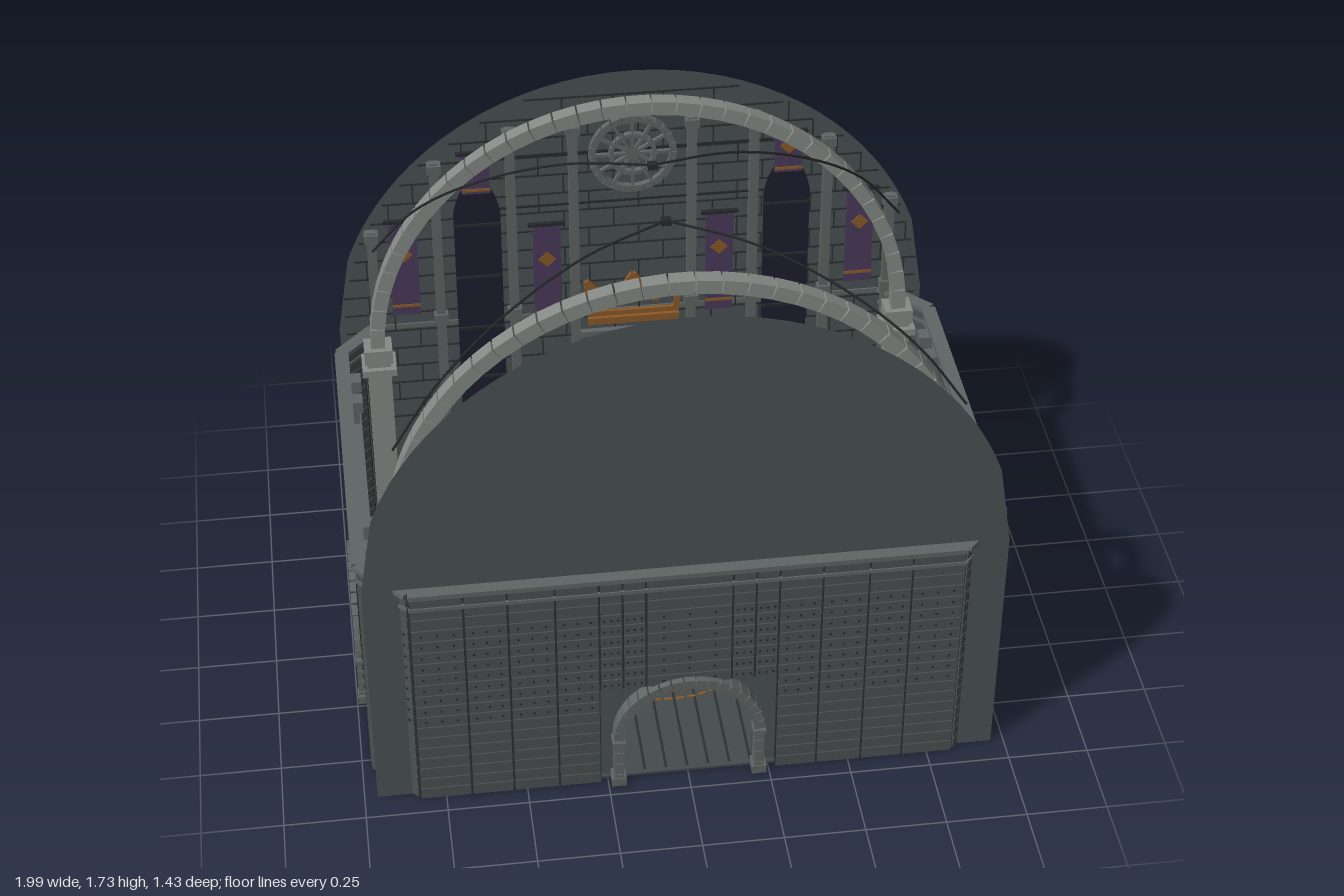
import * as THREE from 'three';
import { mergeGeometries } from 'three/addons/utils/BufferGeometryUtils.js';

const mat = (name, color, side = THREE.FrontSide) => {
  const m = new THREE.MeshStandardMaterial({ color, side });
  m.name = name;
  return m;
};

export function createModel() {
  const M = {
    gable: mat('gable stone', 0x4b5354, THREE.DoubleSide),
    wall: mat('wall slab', 0x4a5051),
    trim: mat('trim stone', 0x5f6665),
    light: mat('light stone', 0x858a86),
    seam: mat('dark seam', 0x2c3132),
    iron: mat('iron', 0x25282a),
    floor: mat('floor slab', 0x454c4e),
    purple: mat('purple cloth', 0x4b3a5c),
    gold: mat('bronze', 0x8c5a28),
    night: mat('night glass', 0x1d1d2e),
  };
  const root = new THREE.Group();
  root.name = 'vaultedHall';

  const box = (w, h, d, x = 0, y = 0, z = 0, rz = 0) =>
    new THREE.BoxGeometry(w, h, d).rotateZ(rz).translate(x, y, z);
  const add = (parent, name, geos, material) => {
    const mesh = new THREE.Mesh(Array.isArray(geos) ? mergeGeometries(geos) : geos, material);
    mesh.name = name;
    parent.add(mesh);
    return mesh;
  };
  const group = (parent, name) => {
    const g = new THREE.Group();
    g.name = name;
    parent.add(g);
    return g;
  };
  // Bar joining two points in the xy plane
  const bar = (p, q, t, d, z = 0, fill = 1) => box(Math.hypot(q[0] - p[0], q[1] - p[1]) * fill, t, d,
    (p[0] + q[0]) / 2, (p[1] + q[1]) / 2, z, Math.atan2(q[1] - p[1], q[0] - p[0]));
  // Separate blocks along an elliptical arc
  const blocks = (cy, a, b, thick, depth, n, z = 0, sweep = Math.PI, fill = 0.95) => {
    const at = i => [a * Math.cos(i / n * sweep), cy + b * Math.sin(i / n * sweep)];
    return Array.from({ length: n }, (_, i) => bar(at(i), at(i + 1), thick, depth, z, fill));
  };
  // Open crown drawn with bars
  const crown = (t, d) => {
    const p = [[-0.14, -0.05], [-0.155, 0.08], [-0.07, -0.01], [0, 0.1], [0.07, -0.01], [0.155, 0.08], [0.14, -0.05]];
    const g = p.slice(1).map((q, i) => bar(p[i], q, t, d));
    g.push(box(0.3, t, d, 0, -0.05), box(0.3, t * 1.4, d, 0, -0.08));
    return g;
  };

  // Wall of slabs with studs; a doorway of half width `door` and height 0.38
  const slabWall = (parent, name, cols, door) => {
    const g = group(parent, name), slabs = [], studs = [], back = [];
    for (let c = 0; c + 1 < cols.length; c++) {
      const x = (cols[c] + cols[c + 1]) / 2, w = cols[c + 1] - cols[c];
      const open = Math.abs(x) < door;
      for (let r = open ? 9 : 0; r < 19; r++) {
        const y0 = r < 9 ? r * 0.0422 : 0.38 + (r - 9) * 0.043, h = r < 9 ? 0.0422 : 0.043;
        slabs.push(box(w - 0.007, h - 0.004, 0.02, x, y0 + h / 2, 0));
        if (r > 6 && r < 16) for (const k of [-0.3, 0, 0.3])
          studs.push(box(0.006, 0.006, 0.004, x + k * w, y0 + h / 2, 0.011));
      }
      const b = open ? 0.38 : 0;
      back.push(box(w, 0.81 - b, 0.012, x, (0.81 + b) / 2, -0.001));
    }
    const L = cols[cols.length - 1] - cols[0];
    add(g, 'wallSlabs', slabs, M.wall);
    add(g, 'wallStuds', studs, M.iron);
    add(g, 'wallJoints', back, M.seam);
    add(g, 'wallCap', [box(L, 0.016, 0.045, 0, 0.817), box(L, 0.012, 0.028, 0, 0.765)], M.trim);
    return g;
  };
  // Doorway arch of wedge stones on block legs
  const doorArch = (parent, z) => {
    const g = blocks(0.185, 0.217, 0.207, 0.032, 0.045, 19, z);
    for (const s of [-1, 1]) {
      for (let i = 0; i < 4; i++) g.push(box(0.03, 0.042, 0.042, s * 0.217, 0.022 + i * 0.045, z));
      g.push(box(0.045, 0.03, 0.05, s * 0.218, 0.015, z), box(0.04, 0.015, 0.048, s * 0.217, 0.17, z));
    }
    add(parent, 'doorArch', g, M.trim);
  };

  const archY = x => 0.77 + 0.95 * Math.sqrt(1 - (x / 0.975) ** 2);

  const endCols = [-0.83, -0.67, -0.54, -0.4, -0.27, -0.2, -0.13, 0.13, 0.2, 0.27, 0.4, 0.54, 0.67, 0.83];
  const sideCols = [-0.53, -0.4, -0.27, -0.2, -0.13, 0, 0.13, 0.2, 0.27, 0.4, 0.53];

  const makeEnd = () => {
    const end = group(root, 'hallEnd');
    // Tall thin gable with an arched doorway
    const s = new THREE.Shape();
    s.moveTo(-0.96, 0).lineTo(-0.962, 0.82);
    for (let i = 0; i <= 40; i++) {
      const x = -0.92 * Math.cos(i / 40 * Math.PI);
      s.lineTo(x, archY(x));
    }
    s.lineTo(0.962, 0.82).lineTo(0.96, 0);
    s.lineTo(0.2, 0).lineTo(0.2, 0.185).absarc(0, 0.185, 0.2, 0, Math.PI, false).lineTo(-0.2, 0);
    add(end, 'gable', new THREE.ShapeGeometry(s, 24).translate(0, 0, 0.665), M.gable);

    slabWall(end, 'outerWall', endCols, 0.27).position.z = 0.682;
    doorArch(end, 0.69);
    for (const m of [-1, 1]) {
      const c = slabWall(end, 'cornerWall', [-0.102, 0, 0.102], 0);
      c.position.set(m * 0.895, 0, 0.605);
      c.rotation.y = m * 0.82;
    }

    // Stone courses and pilasters on the inner face
    const seams = [], posts = [];
    for (let i = 0; i < 18; i++) {
      const y = 0.45 + i * 0.07;
      let w = 0.94;
      while (archY(w) < y + 0.02 && w > 0.1) w -= 0.02;
      seams.push(box(2 * w, 0.006, 0.004, 0, y, 0.661));
      for (let x = -0.9 + (i % 2) * 0.08; x < w; x += 0.16)
        if (x > -w && archY(x) > y + 0.08) seams.push(box(0.005, 0.07, 0.004, x, y + 0.035, 0.661));
    }
    add(end, 'stoneCourses', seams, M.seam);
    for (const x of [-0.84, -0.63, -0.39, -0.19, 0.19, 0.39, 0.63, 0.84]) {
      const b = Math.abs(x) < 0.25 ? 0.42 : 0, h = Math.min(1.55, archY(x) - 0.05) - b;
      posts.push(box(0.03, h, 0.024, x, b + h / 2, 0.648), box(0.045, 0.03, 0.034, x, b + h - 0.02, 0.645),
        box(0.045, 0.04, 0.034, x, 0.85, 0.645));
    }
    posts.push(box(0.4, 0.02, 0.02, 0, 0.74, 0.65));
    add(end, 'pilasters', posts, M.trim);

    // Tall dark windows and hanging banners
    for (const m of [-1, 1]) {
      const w = new THREE.Shape();
      w.moveTo(-0.075, 0.42).lineTo(0.075, 0.42).lineTo(0.075, 1.24).quadraticCurveTo(0.06, 1.34, 0, 1.38)
        .quadraticCurveTo(-0.06, 1.34, -0.075, 1.24);
      add(end, 'window', new THREE.ExtrudeGeometry(w, { depth: 0.008, bevelEnabled: false })
        .translate(m * 0.5, 0, 0.648), M.night);
      add(end, 'windowBars', [0.6, 0.8, 1, 1.2].map(y => box(0.15, 0.008, 0.006, m * 0.5, y, 0.645)), M.iron);
      for (const [x, y, h] of [[0.28, 1, 0.38], [0.28, 0.47, 0.17], [0.74, 1.06, 0.36], [0.5, 1.4, 0.15]]) {
        add(end, 'banner', box(0.09, h, 0.006, m * x, y, 0.637), M.purple);
        add(end, 'bannerEmblem', [box(0.04, 0.04, 0.004, m * x, y + h * 0.15, 0.633, Math.PI / 4),
          box(0.09, 0.01, 0.004, m * x, y - h * 0.4, 0.633)], M.gold);
        add(end, 'bannerRod', box(0.12, 0.01, 0.014, m * x, y + h / 2, 0.637), M.iron);
      }
    }

    // Round spoked ornament above a crown relief
    const wheel = [...blocks(0, 0.13, 0.13, 0.022, 0.02, 24, 0, Math.PI * 2),
      ...blocks(0, 0.07, 0.07, 0.014, 0.02, 16, 0, Math.PI * 2)];
    for (let i = 0; i < 6; i++) wheel.push(box(0.25, 0.01, 0.012, 0, 0, 0, i * Math.PI / 6));
    add(end, 'wheelOrnament', wheel, M.trim).position.set(0, 1.43, 0.645);
    add(end, 'wallCrown', crown(0.018, 0.012), M.gold).position.set(0, 0.87, 0.645);

    // Free-standing rib on plinths and columns
    add(end, 'archRib', blocks(0.88, 0.845, 0.825, 0.045, 0.048, 35, 0.48), M.light);
    for (const m of [-1, 1]) {
      const x = m * 0.845;
      add(end, 'ribColumn', [box(0.075, 0.82, 0.065, x, 0.42, 0.48), box(0.11, 0.06, 0.1, x, 0.04, 0.48),
        box(0.09, 0.05, 0.08, x, 0.855, 0.48), box(0.11, 0.025, 0.1, x, 0.8, 0.48)], M.light);
      // Curved cable rising to the crown of the vault
      const cable = new THREE.CatmullRomCurve3([[0.84, 1.22, 0.51], [0.7, 1.4, 0.455], [0.5, 1.55, 0.36],
        [0.25, 1.66, 0.25], [0, 1.7, 0.15]].map(p => new THREE.Vector3(m * p[0], p[1], p[2])));
      add(end, 'vaultCable', new THREE.TubeGeometry(cable, 24, 0.004, 5), M.iron);
      // Corner pedestals with a dark figure, and a low bench
      add(end, 'cornerPedestal', [box(0.1, 0.2, 0.1, m * 0.78, 0.11, 0.41), box(0.13, 0.03, 0.08, m * 0.74, 0.03, 0.48)], M.trim);
      add(end, 'cornerFigure', new THREE.ConeGeometry(0.04, 0.22, 6).translate(m * 0.78, 0.32, 0.41), M.iron);
      add(end, 'slabTomb', [box(0.13, 0.09, 0.21, m * 0.685, 0.055, 0.335), box(0.14, 0.015, 0.22, m * 0.685, 0.105, 0.335)], M.light);
      const leaf = new THREE.SphereGeometry(0.025, 8, 6).scale(0.8, 0.6, 3.6).translate(m * 0.68, 0.118, 0.35);
      add(end, 'tombFigure', leaf, M.iron);
    }
    add(end, 'cableLamp', box(0.03, 0.018, 0.025, 0, 1.697, 0.15), M.iron);
    // Long thin rods on the gable
    add(end, 'bannerRails', [1.25, 1.44].map(y => box(0.9, 0.006, 0.006, 0, y, 0.655)), M.iron);
    return end;
  };

  const makeSide = () => {
    const side = group(root, 'hallSide');
    slabWall(side, 'sideWall', sideCols, 0.27).position.z = 0.962;
    doorArch(side, 0.972);
    // Inner piers, ledges and curved door braces
    const piers = [];
    for (const m of [-1, 1]) {
      for (const x of [0.31, 0.42]) piers.push(box(0.035, 0.8, 0.03, m * x, 0.4, 0.935), box(0.05, 0.04, 0.045, m * x, 0.78, 0.93));
      piers.push(box(0.035, 0.08, 0.05, m * 0.255, 0.05, 0.93));
      const c = new THREE.CatmullRomCurve3([[0.25, 0.12], [0.246, 0.25], [0.235, 0.32], [0.21, 0.38]]
        .map(p => new THREE.Vector3(m * p[0], p[1], 0.935)));
      add(side, 'doorBrace', new THREE.TubeGeometry(c, 10, 0.005, 5), M.iron);
    }
    piers.push(box(0.9, 0.025, 0.04, 0, 0.7, 0.935));
    add(side, 'innerPiers', piers, M.trim);
    return side;
  };

  // Two matching ends and sides, each turned half way round
  for (const a of [0, Math.PI]) {
    makeEnd().rotation.y = a;
    makeSide().rotation.y = a + Math.PI / 2;
  }

  // Eight-sided floor with plank joints
  const f = new THREE.Shape([[-0.96, -0.53], [-0.82, -0.675], [0.82, -0.675], [0.96, -0.53],
    [0.96, 0.53], [0.82, 0.675], [-0.82, 0.675], [-0.96, 0.53]].map(p => new THREE.Vector2(...p)));
  add(root, 'floor', new THREE.ExtrudeGeometry(f, { depth: 0.008, bevelEnabled: false })
    .rotateX(-Math.PI / 2).translate(0, 0.001, 0), M.floor);
  const joints = [];
  for (let i = -14; i <= 14; i++) {
    const x = i * 0.066, l = Math.abs(x) > 0.82 ? 1.08 : 1.32;
    joints.push(box(0.008, 0.011, l, x, 0.0055, 0));
  }
  add(root, 'floorJoints', joints, M.seam);

  // Floor emblem: dashed double ring around a crown
  const emblem = [...crown(0.01, 0.004), ...blocks(0, 0.325, 0.325, 0.008, 0.004, 60, 0, Math.PI * 2, 0.7),
    ...blocks(0, 0.36, 0.36, 0.008, 0.004, 60, 0, Math.PI * 2, 0.7)];
  add(root, 'floorEmblem', mergeGeometries(emblem).rotateX(-Math.PI / 2).translate(0, 0.013, 0), M.gold);

  // Table in the back corner
  add(root, 'table', [box(0.26, 0.02, 0.13, -0.58, 0.17, -0.53), box(0.22, 0.15, 0.08, -0.58, 0.085, -0.53)], M.trim);
  return root;
}
